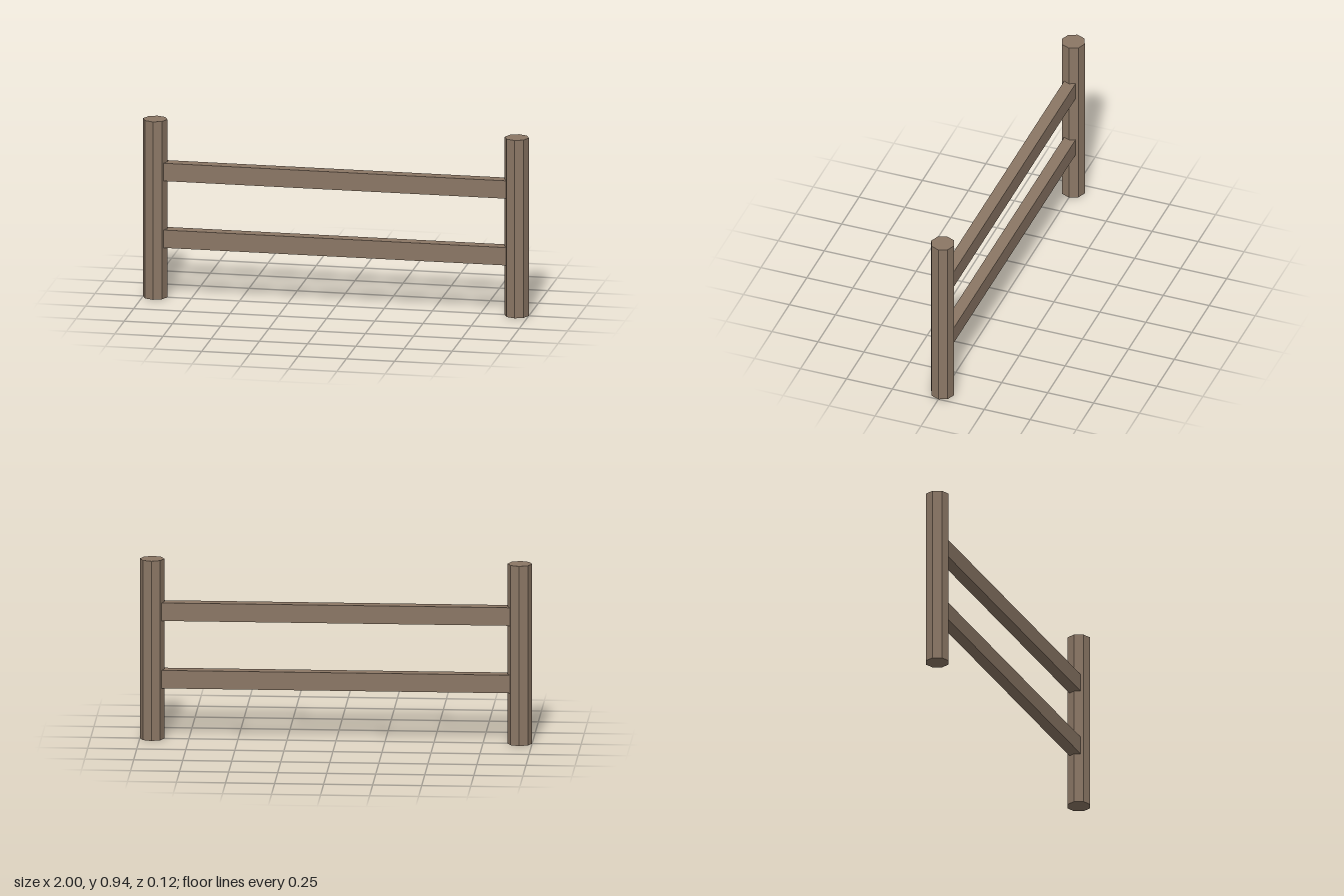
import * as THREE from 'three';

const POST_RADIUS = 0.0625;
const POST_HEIGHT = 0.9375;
const POST_X = 1 - POST_RADIUS;

export function createModel() {
  const fence = new THREE.Group();
  fence.name = 'fence';
  const wood = new THREE.MeshStandardMaterial({ color: 0x8b7765, flatShading: true });

  const add = (name, geometry, x, y) => {
    const mesh = new THREE.Mesh(geometry, wood);
    mesh.name = name;
    mesh.position.set(x, y, 0);
    fence.add(mesh);
  };

  // Octagonal posts, one at each end, with corners on the axes
  const postGeometry = new THREE.CylinderGeometry(POST_RADIUS, POST_RADIUS, POST_HEIGHT, 8);
  add('leftPost', postGeometry, POST_X, POST_HEIGHT / 2);
  add('rightPost', postGeometry, -POST_X, POST_HEIGHT / 2);

  // Flat rails running between the post centres
  const railGeometry = new THREE.BoxGeometry(POST_X * 2, 0.094, 0.0625);
  add('lowerRail', railGeometry, 0, 0.315);
  add('upperRail', railGeometry, 0, 0.667);

  return fence;
}
